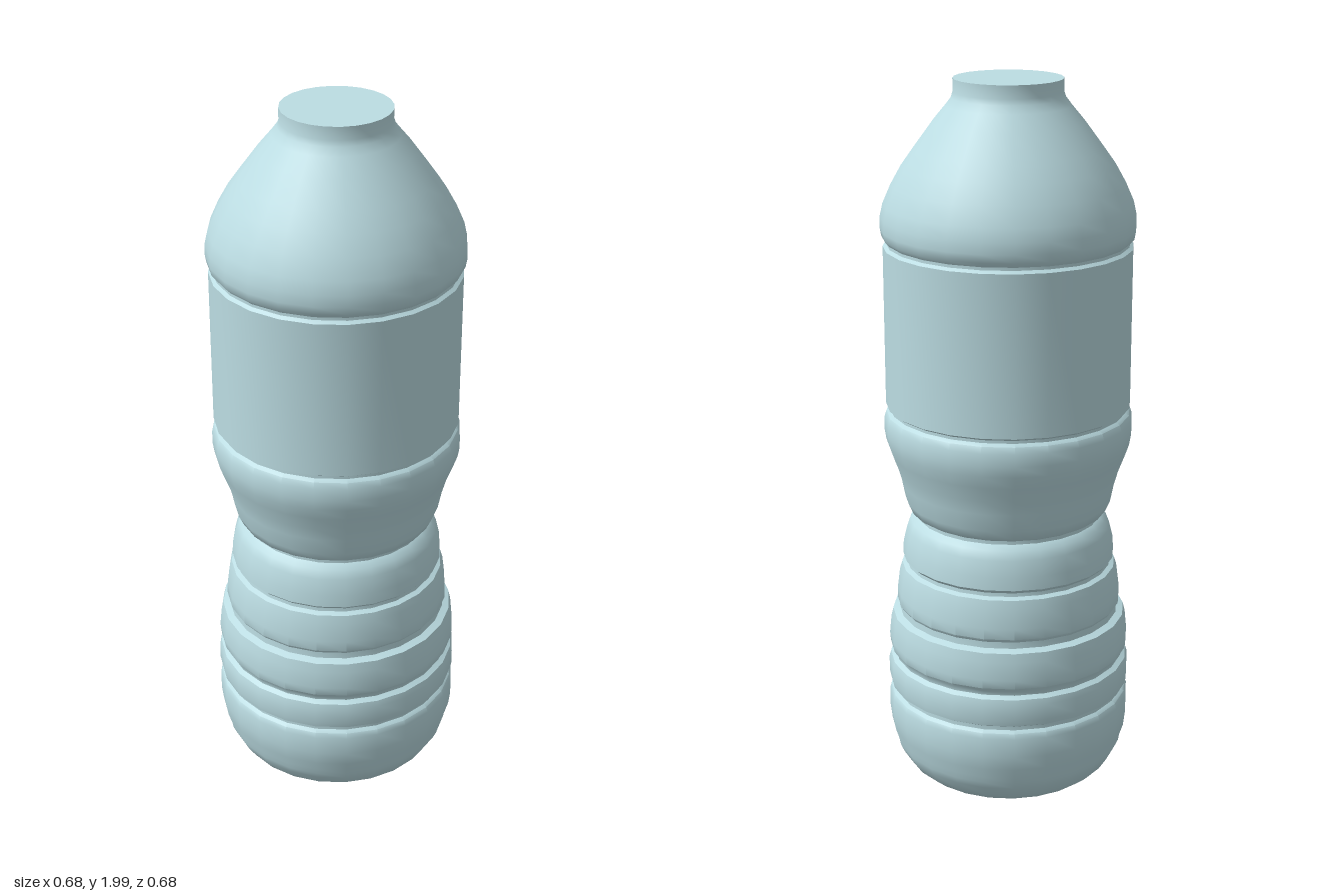
import * as THREE from 'three';
import { toCreasedNormals } from 'three/addons/utils/BufferGeometryUtils.js';

const SIDES = 24;

// Profile sections as [radius, height], from the base upwards.
const base = [
  [0, 0.012], [0.02, 0.008], [0.07, 0.008], [0.08, 0.014], [0.15, 0.014], [0.16, 0.02],
  [0.215, 0.025], [0.26, 0.04], [0.29, 0.065], [0.312, 0.1], [0.322, 0.122], [0.325, 0.14],
];
const ribs = [
  [0.335, 0.17], [0.34, 0.21], [0.34, 0.265], [0.335, 0.28], [0.325, 0.287], [0.325, 0.298],
  [0.337, 0.305], [0.34, 0.32], [0.34, 0.365], [0.335, 0.382], [0.322, 0.39], [0.324, 0.402],
  [0.335, 0.415], [0.337, 0.44], [0.332, 0.49], [0.326, 0.515], [0.307, 0.522], [0.306, 0.54],
  [0.313, 0.55], [0.312, 0.58], [0.305, 0.635], [0.298, 0.658], [0.285, 0.664], [0.284, 0.674],
  [0.295, 0.685], [0.293, 0.72], [0.282, 0.765], [0.272, 0.79],
];
const waist = [
  [0.255, 0.802], [0.255, 0.812], [0.272, 0.822], [0.285, 0.85], [0.295, 0.9], [0.306, 0.94],
  [0.323, 0.985], [0.335, 1.02], [0.34, 1.05], [0.339, 1.085], [0.333, 1.103], [0.323, 1.11],
];
const label = [[0.323, 1.118], [0.334, 1.125], [0.334, 1.56], [0.325, 1.567]];
const shoulder = [
  [0.325, 1.575], [0.337, 1.588], [0.341, 1.61], [0.34, 1.64], [0.332, 1.675], [0.31, 1.725],
  [0.282, 1.775], [0.25, 1.82], [0.2, 1.888], [0.165, 1.93], [0.15, 1.95],
];
const neck = [[0.145, 1.965], [0.145, 2]];

export function createModel() {
  const group = new THREE.Group();
  const material = new THREE.MeshStandardMaterial({ color: 0xbcdde3 });

  // Bottle body, turned from one continuous profile
  const profile = [...base, ...ribs, ...waist, ...label, ...shoulder, ...neck]
    .map(([r, y]) => new THREE.Vector2(r, y));
  const body = new THREE.Mesh(
    toCreasedNormals(new THREE.LatheGeometry(profile, SIDES), 0.65), material);
  body.name = 'bottleBody';
  group.add(body);

  // Flat disc closing the mouth
  const mouth = new THREE.Mesh(new THREE.CircleGeometry(0.145, SIDES), material);
  mouth.rotation.x = -Math.PI / 2;
  mouth.position.y = 2;
  mouth.name = 'mouthDisc';
  group.add(mouth);

  return group;
}
